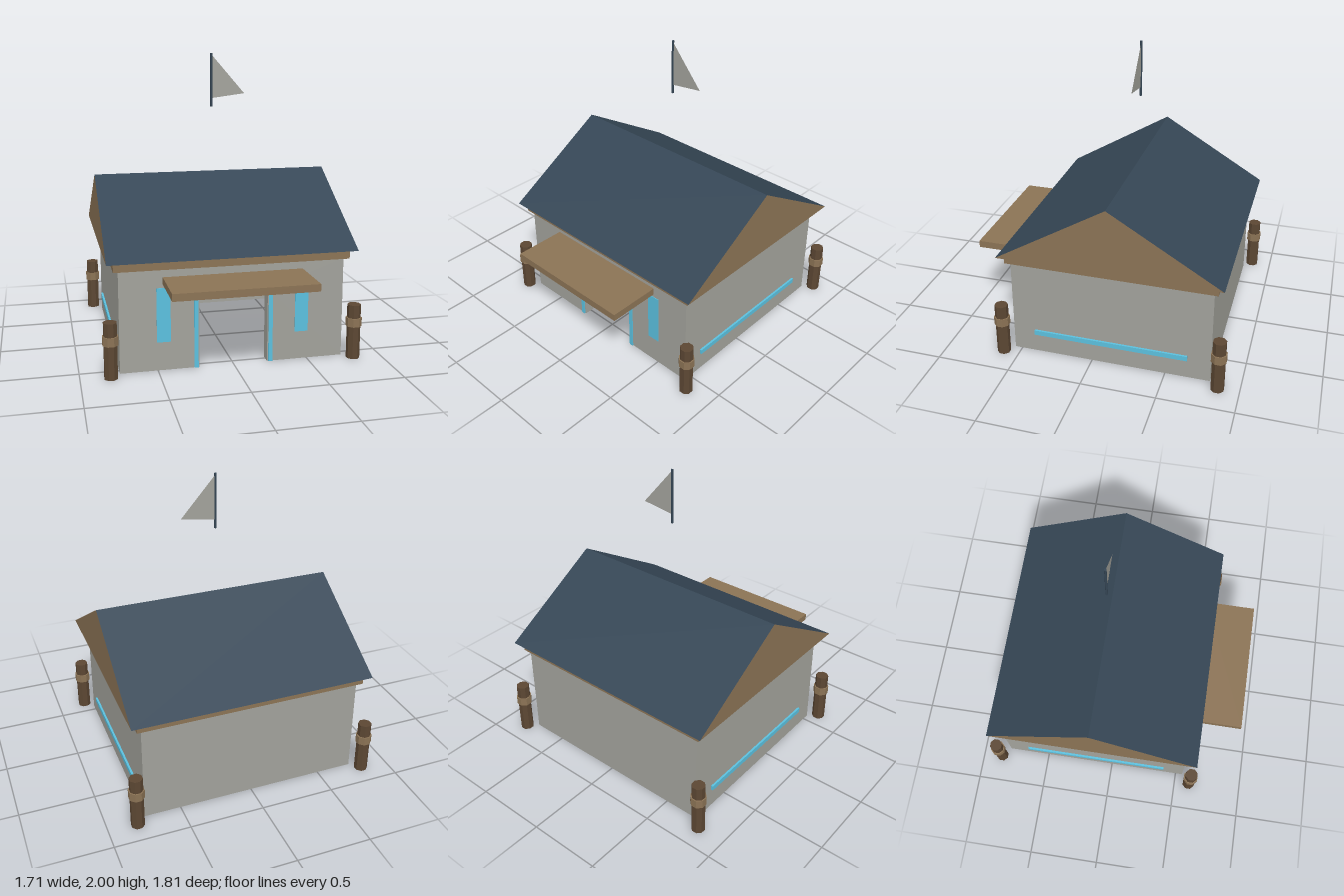
import * as THREE from 'three';

const material = (name, color, extra = {}) =>
  Object.assign(new THREE.MeshStandardMaterial({ color, ...extra }), { name });

export function createModel() {
  const stone = material('stone grey', 0xa2a29b, { side: THREE.DoubleSide });
  const tan = material('light timber', 0x8b7355);
  const brown = material('dark timber', 0x5c4733);
  const slate = material('slate blue', 0x354655);
  const cyan = material('cyan trim', 0x5bc0de);
  const flatBrown = brown;
  flatBrown.flatShading = true;

  const root = new THREE.Group();
  root.name = 'hut';
  const midZ = -0.125; // centre line of the building

  const add = (name, geometry, mat, parent = root) => {
    const mesh = new THREE.Mesh(geometry, mat);
    mesh.name = name;
    parent.add(mesh);
    return mesh;
  };
  // Box given by its limits on each axis
  const box = (name, mat, [x0, x1], [y0, y1], [z0, z1], parent) => {
    const mesh = add(name, new THREE.BoxGeometry(x1 - x0, y1 - y0, z1 - z0), mat, parent);
    mesh.position.set((x0 + x1) / 2, (y0 + y1) / 2, (z0 + z1) / 2);
    return mesh;
  };

  // Hollow walls, open below, with a doorway in the front
  const W = 0.745, H = 0.675, front = 0.55, back = -0.8, t = 0.075;
  const doorW = 0.228, doorH = 0.49;
  const walls = new THREE.Group();
  walls.name = 'walls';
  root.add(walls);
  const outline = new THREE.Shape([
    [-W, 0], [-doorW, 0], [-doorW, doorH], [doorW, doorH],
    [doorW, 0], [W, 0], [W, H], [-W, H],
  ].map(([x, y]) => new THREE.Vector2(x, y)));
  add('frontWall', new THREE.ExtrudeGeometry(outline, { depth: t, bevelEnabled: false }), stone, walls)
    .position.z = front - t;
  box('backWall', stone, [-W, W], [0, H], [back, back + t], walls);
  box('leftWall', stone, [W - t, W], [0, H], [back + t, front - t], walls);
  box('rightWall', stone, [-W, t - W], [0, H], [back + t, front - t], walls);

  // Eaves slab and entrance canopy, with dark undersides
  const slab = [tan, tan, tan, brown, tan, tan];
  box('eavesSlab', slab, [-0.777, 0.777], [H, 0.735], [-0.828, 0.578]);
  box('canopy', slab, [-0.463, 0.463], [0.572, 0.62], [front, 0.905]);

  // Gabled roof: timber ends, slate slopes
  const gable = new THREE.Shape([
    new THREE.Vector2(-0.745, 0), new THREE.Vector2(0.745, 0), new THREE.Vector2(0, 0.445),
  ]);
  const roof = add('roof',
    new THREE.ExtrudeGeometry(gable, { depth: 1.644, bevelEnabled: false }), [tan, slate]);
  roof.rotation.y = Math.PI / 2;
  roof.position.set(-0.822, 0.735, midZ);

  // Door frame
  const frame = new THREE.Group();
  frame.name = 'doorFrame';
  root.add(frame);
  const frameZ = [front, front + 0.008];
  for (const s of [-1, 1]) {
    const side = s > 0 ? 'left' : 'right';
    box(side + 'DoorTrim', cyan, s > 0 ? [0.235, 0.262] : [-0.262, -0.235], [0, 0.524], frameZ, frame);
    // Window panels and side strips
    box(side + 'Window', cyan, s > 0 ? [0.415, 0.505] : [-0.505, -0.415], [0.19, 0.55], [front, front + 0.004]);
    box(side + 'Strip', cyan, s > 0 ? [W, 0.759] : [-0.759, -W], [0.135, 0.169], [-0.645, 0.4]);

    // Corner posts with a lighter band
    for (const z of [0.608, -0.858]) {
      const post = new THREE.Group();
      post.name = side + (z > 0 ? 'FrontPost' : 'BackPost');
      post.position.set(s * 0.807, 0, z);
      post.rotation.y = Math.PI / 8;
      add('postShaft', new THREE.CylinderGeometry(0.045, 0.045, 0.37, 8), brown, post).position.y = 0.185;
      const band = new THREE.CylinderGeometry(0.053, 0.053, 0.058, 8).toNonIndexed();
      band.computeVertexNormals();
      add('postBand', band, tan, post).position.y = 0.252;
      root.add(post);
    }
  }
  box('doorLintelTrim', cyan, [-0.235, 0.235], [0.498, 0.524], frameZ, frame);

  // Flagpole and pennant floating above the ridge
  add('flagpole', new THREE.CylinderGeometry(0.008, 0.008, 0.37, 6), slate).position.set(0, 1.815, midZ);
  const pennant = new THREE.Shape([
    new THREE.Vector2(0.005, 1.69), new THREE.Vector2(0.236, 1.72), new THREE.Vector2(0.005, 1.985),
  ]);
  add('pennant', new THREE.ShapeGeometry(pennant), stone).position.z = midZ;

  return root;
}
